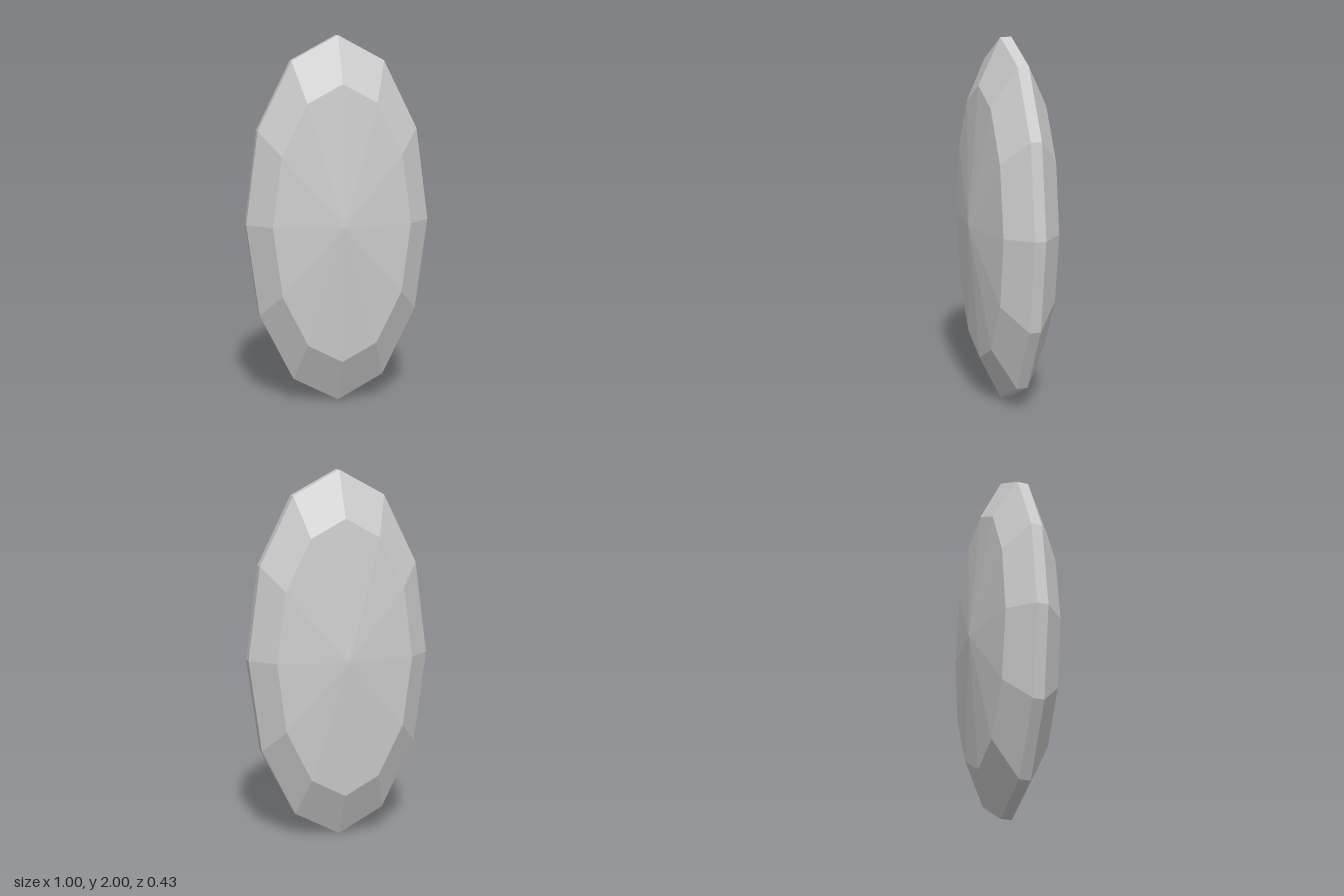
import * as THREE from 'three';

export function createModel() {
  const group = new THREE.Group();
  group.name = 'facetedGem';

  // Half profile from back point to front point: crown, bevel, girdle, bevel, crown
  const profile = [
    [0, -0.217], [0.375, -0.155], [0.5, -0.031],
    [0.5, 0.031], [0.375, 0.155], [0, 0.217],
  ].map(([r, h]) => new THREE.Vector2(r, h));

  // Twelve-sided turn, stretched to an oval and stood upright facing +z
  const lathe = new THREE.LatheGeometry(profile, 12);
  lathe.scale(1, 1, 2);
  lathe.rotateX(Math.PI / 2);
  lathe.translate(0, 1, 0);

  const geometry = lathe.toNonIndexed();
  geometry.computeVertexNormals();

  const gem = new THREE.Mesh(
    geometry,
    new THREE.MeshStandardMaterial({ color: 0xcccccc, flatShading: true })
  );
  gem.name = 'gem';
  group.add(gem);
  return group;
}
